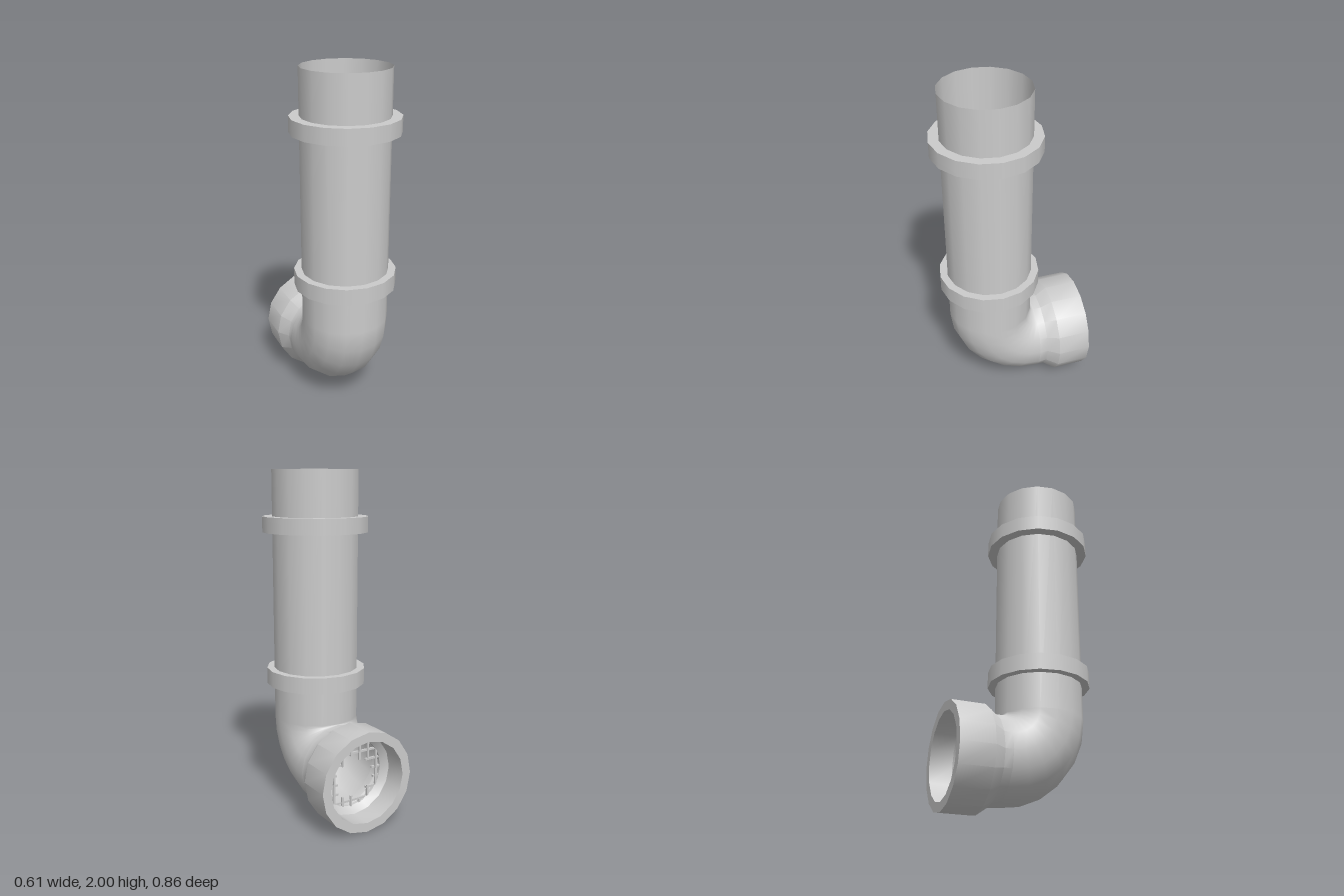
import * as THREE from 'three';
import { toCreasedNormals } from 'three/addons/utils/BufferGeometryUtils.js';

const SIDES = 16;
const PIPE_R = 0.25;   // pipe radius
const BEND_R = 0.253;  // centreline radius of the elbow
const PIPE_Z = 0.125;  // z of the upright axis
const AXIS_Y = 0.297;  // y of the outlet axis

export function createModel() {
  const model = new THREE.Group();
  model.name = 'drainPipe';
  const material = new THREE.MeshStandardMaterial({ color: 0xcccccc, side: THREE.DoubleSide });

  function add(name, geometry, x = 0, y = 0, z = 0, parent = model) {
    const mesh = new THREE.Mesh(geometry, material);
    mesh.name = name;
    mesh.position.set(x, y, z);
    parent.add(mesh);
    return mesh;
  }

  // Open upright pipe
  const bendY = AXIS_Y + BEND_R;
  const height = 2 - bendY;
  add('uprightPipe', new THREE.CylinderGeometry(PIPE_R, PIPE_R, height, SIDES, 1, true),
    0, bendY + height / 2, PIPE_Z);

  // Capped collars around the pipe
  for (const [name, bottom, top, r] of [['lowerCollar', 0.755, 0.85, 0.294], ['upperCollar', 1.65, 1.74, 0.307]]) {
    add(name, new THREE.CylinderGeometry(r, r, top - bottom, SIDES), 0, (bottom + top) / 2, PIPE_Z);
  }

  // Quarter bend turning the pipe towards the back
  const elbow = new THREE.TorusGeometry(BEND_R, PIPE_R, SIDES, 6, Math.PI / 2);
  elbow.rotateZ(-Math.PI / 2).rotateY(-Math.PI / 2);
  add('elbow', elbow, 0, bendY, PIPE_Z - BEND_R);

  // Flared outlet socket: outside, rim, then the recessed inside
  const profile = [
    [0.25, 0.128], [0.25, 0.175], [0.297, 0.24], [0.297, 0.432],
    [0.243, 0.432], [0.243, 0.3], [0.205, 0.265], [0.205, 0.245], [0.25, 0.2],
  ].map(([r, d]) => new THREE.Vector2(r, d));
  const socket = new THREE.LatheGeometry(profile, SIDES).rotateX(-Math.PI / 2);
  add('outletSocket', toCreasedNormals(socket, 0.7), 0, AXIS_Y, 0);

  // Grate across the outlet, with a ragged hole broken through it
  const grate = new THREE.Group();
  grate.name = 'brokenGrate';
  grate.position.set(0, AXIS_Y, -0.262);
  model.add(grate);
  const bar = 0.012, grateR = 0.212, pitch = 0.058;
  const holeX = -0.025, holeY = -0.035, holeR = 0.125;

  function addBar(vertical, across, from, to) {
    if (to - from < 0.01) return;
    const length = to - from, mid = (from + to) / 2;
    const geometry = new THREE.BoxGeometry(vertical ? bar : length, vertical ? length : bar, bar);
    add('grateBar', geometry, vertical ? across : mid, vertical ? mid : across, vertical ? 0 : 0.006, grate);
  }

  for (const vertical of [true, false]) {
    for (let i = -3; i <= 3; i++) {
      const across = i * pitch;
      const end = Math.sqrt(grateR ** 2 - across ** 2);
      const offset = across - (vertical ? holeX : holeY);
      const centre = vertical ? holeY : holeX;
      if (Math.abs(offset) >= holeR) {
        addBar(vertical, across, -end, end);
        continue;
      }
      // uneven stubs left around the hole
      const gap = Math.sqrt(holeR ** 2 - offset ** 2);
      const ragged = 0.018 * Math.sin(i * 2.7 + (vertical ? 1 : 0));
      addBar(vertical, across, -end, centre - gap + ragged);
      addBar(vertical, across, centre + gap + ragged, end);
    }
  }

  return model;
}
